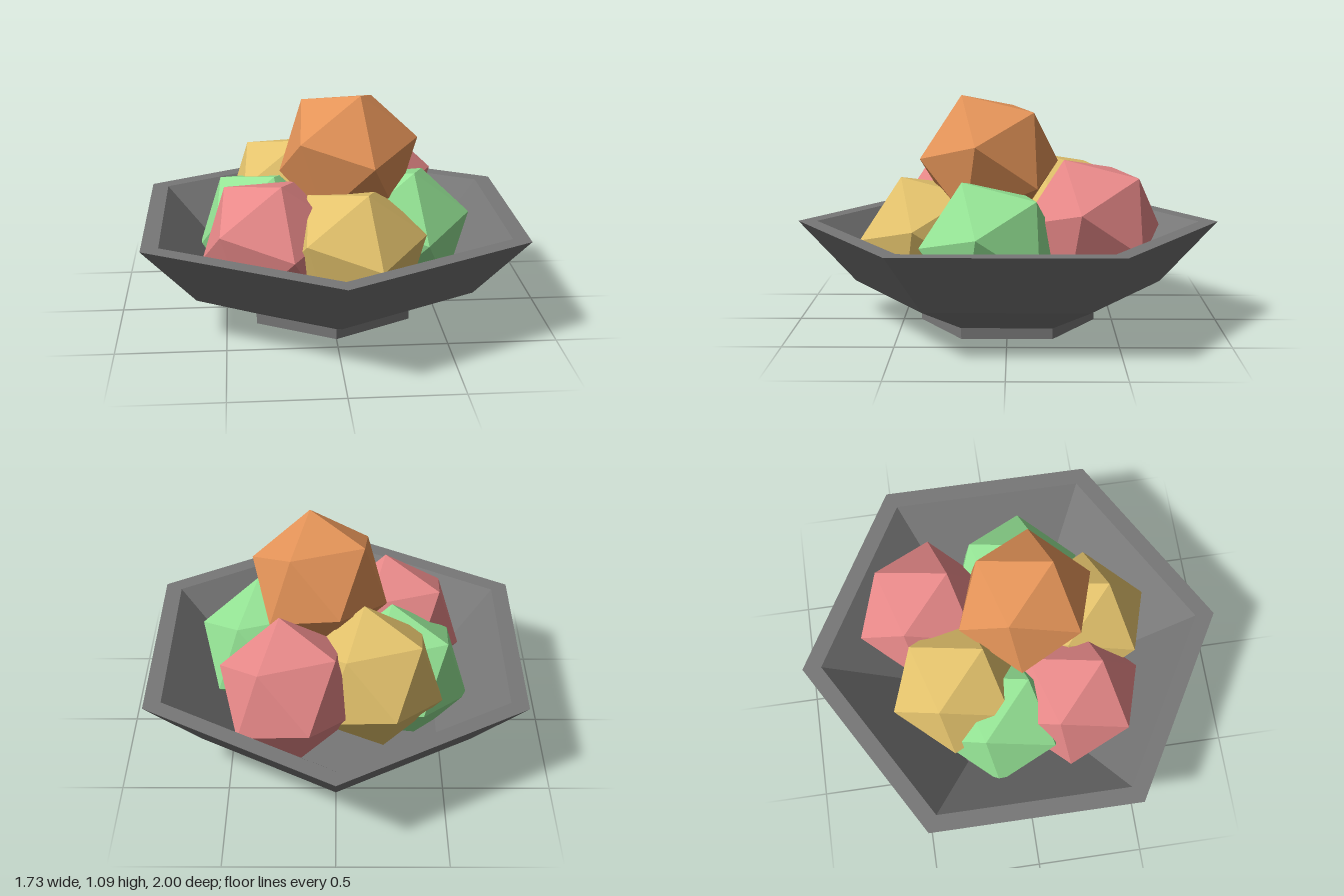
import * as THREE from 'three';

const mat = (name, color) => {
  const m = new THREE.MeshStandardMaterial({ color, flatShading: true });
  m.name = name;
  return m;
};

// Rotation that takes the icosahedron's first two (adjacent) corners to two given directions
function cornerRotation(top, side) {
  const basis = (a, b) => {
    const u = a.clone().normalize();
    const w = a.clone().cross(b).normalize();
    return new THREE.Matrix4().makeBasis(u, w.clone().cross(u), w);
  };
  const t = (1 + Math.sqrt(5)) / 2;
  const from = basis(new THREE.Vector3(-1, t, 0), new THREE.Vector3(1, t, 0));
  return basis(top, side).multiply(from.transpose());
}

export function createModel() {
  const group = new THREE.Group();
  const grey = mat('bowl grey', 0x777777);
  const orange = mat('orange', 0xe39358);
  const pink = mat('pink', 0xe88989);
  const yellow = mat('yellow', 0xe3c26c);
  const green = mat('green', 0x94e394);

  // Six-sided bowl with foot, flared wall, flat rim and hollow inside
  const profile = [
    [0, 0], [0.415, 0], [0.415, 0.05], [0.73, 0.19], [1, 0.48],
    [0.91, 0.48], [0.55, 0.15], [0, 0.15],
  ].map(([r, y]) => new THREE.Vector2(r, y));
  const bowl = new THREE.Mesh(new THREE.LatheGeometry(profile, 6), grey);
  bowl.name = 'bowl';
  group.add(bowl);

  // Faceted fruits, all turned the same way
  const fruitGeo = new THREE.IcosahedronGeometry(0.334, 0);
  fruitGeo.applyMatrix4(cornerRotation(
    new THREE.Vector3(0.045, 0.303, 0.128),
    new THREE.Vector3(-0.228, 0.108, 0.219),
  ));
  const fruits = [
    ['topFruit', orange, 0.077, 0.785, 0.082],
    ['frontLeftFruit', yellow, 0.088, 0.406, 0.364],
    ['frontRightFruit', pink, -0.289, 0.423, 0.266],
    ['leftFruit', green, 0.328, 0.415, 0.073],
    ['rightFruit', green, -0.31, 0.365, -0.08],
    ['backLeftFruit', pink, 0.21, 0.502, -0.386],
    ['backRightFruit', yellow, -0.175, 0.486, -0.272],
  ];
  for (const [name, material, x, y, z] of fruits) {
    const fruit = new THREE.Mesh(fruitGeo, material);
    fruit.name = name;
    fruit.position.set(x, y, z);
    group.add(fruit);
  }
  return group;
}
